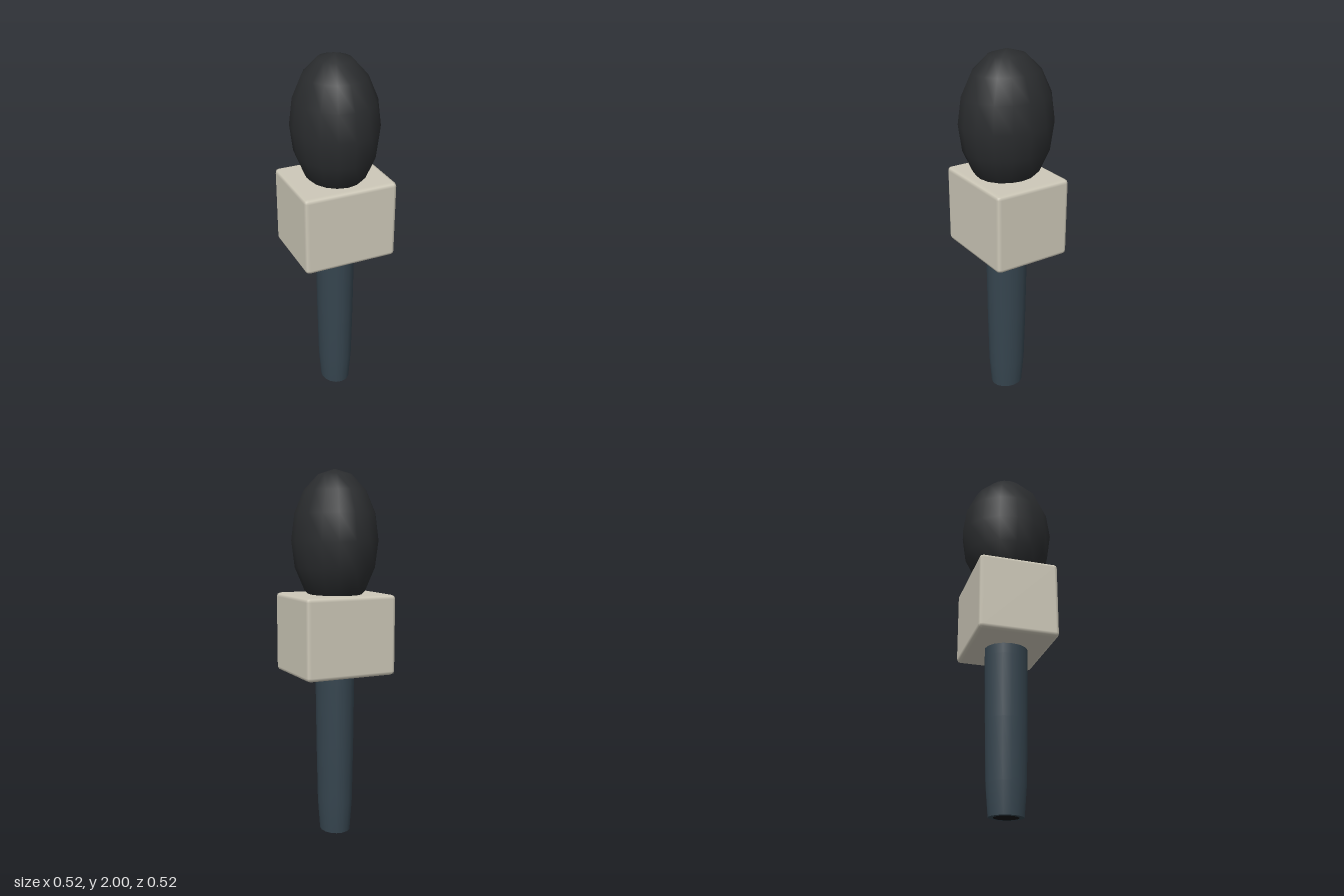
import * as THREE from 'three';
import { RoundedBoxGeometry } from 'three/addons/geometries/RoundedBoxGeometry.js';

const DEPTH = 0.26 / 0.23; // the body is slightly deeper than wide

function addPart(group, name, geometry, color, y = 0) {
  const mesh = new THREE.Mesh(geometry, new THREE.MeshStandardMaterial({ color }));
  mesh.name = name;
  mesh.position.y = y;
  group.add(mesh);
}

export function createModel() {
  const group = new THREE.Group();
  group.name = 'microphone';

  // Foam windscreen: stretched low-poly sphere, its base sunk into the block
  const foam = new THREE.SphereGeometry(1, 16, 8).scale(0.23, 0.375, 0.26);
  addPart(group, 'foamWindscreen', foam, 0x2a2c2e, 1.625);

  // Bevelled block around the neck
  addPart(group, 'neckBlock', new RoundedBoxGeometry(0.52, 0.435, 0.44, 1, 0.022), 0xcdc8b8, 1.1225);

  // Tapered oval handle
  const profile = [[0.083, 0], [0.095, 0.17], [0.101, 0.5], [0.105, 0.85], [0.105, 1.0]]
    .map(([r, y]) => new THREE.Vector2(r, y));
  addPart(group, 'handle', new THREE.LatheGeometry(profile, 16).scale(1, 1, DEPTH), 0x36454f);

  // Closed lower end with a dark socket disc
  const end = new THREE.CircleGeometry(0.083, 16).rotateX(Math.PI / 2).scale(1, 1, DEPTH);
  addPart(group, 'handleEnd', end, 0x36454f, 0.002);
  const socket = new THREE.CircleGeometry(0.06, 16).rotateX(Math.PI / 2).scale(1, 1, DEPTH);
  addPart(group, 'socket', socket, 0x101316, 0);

  return group;
}
